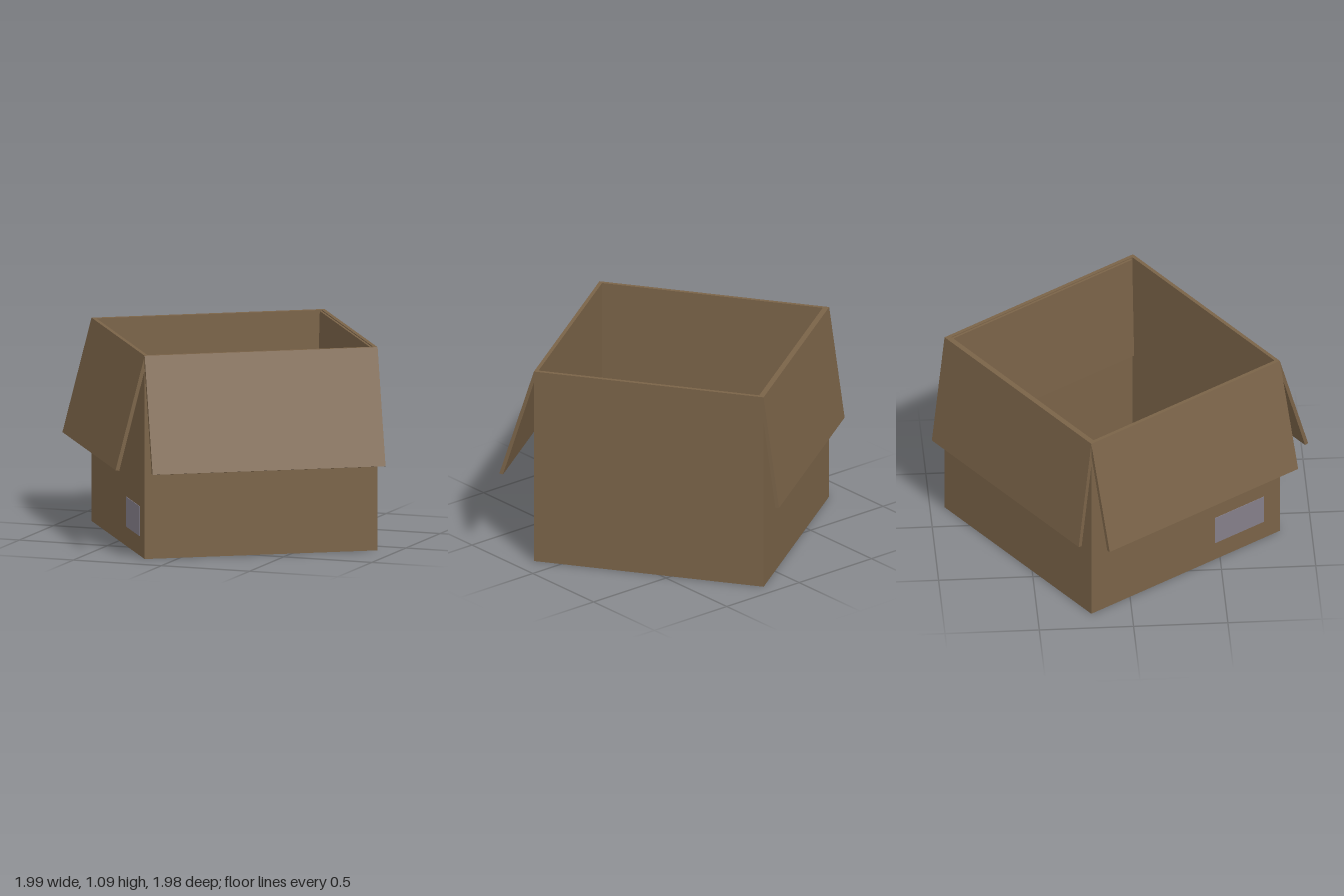
import * as THREE from 'three';

const HALF = 0.632, HEIGHT = 1.09, FLAP_Y = 0.478, T = 0.02;

export function createModel() {
  const card = new THREE.MeshStandardMaterial({ color: 0x7a6348, side: THREE.DoubleSide });
  const paper = new THREE.MeshStandardMaterial({ color: 0x857f8a });
  const model = new THREE.Group();
  model.name = 'openCarton';

  // The carton stands turned on the ground
  const carton = new THREE.Group();
  carton.name = 'carton';
  carton.rotation.y = 0.594;
  carton.position.set(0.01, 0, -0.045);
  model.add(carton);

  const add = (name, geometry, material = card) => {
    const mesh = new THREE.Mesh(geometry, material);
    mesh.name = name;
    carton.add(mesh);
    return mesh;
  };
  const polygon = (points) => new THREE.Shape(points.map(([x, y]) => new THREE.Vector2(x, y)));

  // Four walls: a square tube with the rim left open
  const outline = polygon([[-HALF, -HALF], [HALF, -HALF], [HALF, HALF], [-HALF, HALF]]);
  const x0 = -HALF + T, x1 = HALF - T, y0 = -HALF + T, y1 = HALF - 0.03;
  outline.holes.push(polygon([[x0, y0], [x0, y1], [x1, y1], [x1, y0]]));
  const walls = new THREE.ExtrudeGeometry(outline, { depth: HEIGHT, bevelEnabled: false });
  walls.rotateX(-Math.PI / 2);
  add('walls', walls);

  // Bottom panel, fitted between the walls
  add('bottomPanel', new THREE.BoxGeometry(2 * (HALF - 0.002), T, 2 * (HALF - 0.002))).position.y = T / 2;

  // A flap is a side profile (outward, up) drawn along the wall
  function addFlap(name, profile, width, turn) {
    const g = new THREE.ExtrudeGeometry(polygon(profile), { depth: width, bevelEnabled: false });
    g.translate(HALF, 0, -width / 2);
    g.rotateY(turn);
    add(name, g);
  }

  // Three flaps folded outward, each by its own amount
  const outerFlaps = [
    ['frontFlap', 0.19, -Math.PI / 2],
    ['rightFlap', 0.158, Math.PI],
    ['backFlap', 0.085, Math.PI / 2],
  ];
  for (const [name, out, turn] of outerFlaps) {
    const fork = HEIGHT - (T / out) * (HEIGHT - FLAP_Y);
    const tip = name === 'backFlap' ? FLAP_Y - 0.018 : FLAP_Y;
    addFlap(name, [[0, HEIGHT], [0, fork], [out - T, tip], [out, tip + 0.004]], 2 * HALF, turn);
  }

  // The fourth flap is tucked inside against its wall
  addFlap('innerFlap',
    [[-T, HEIGHT - 0.005], [-T - 0.012, HEIGHT - 0.005], [-T - 0.028, FLAP_Y], [-T - 0.014, FLAP_Y]],
    2 * HALF - 0.06, 0);

  // Blank paper label on the right wall
  add('label', new THREE.BoxGeometry(0.004, 0.16, 0.328), paper).position.set(-HALF - 0.001, 0.185, 0.36);

  return model;
}
